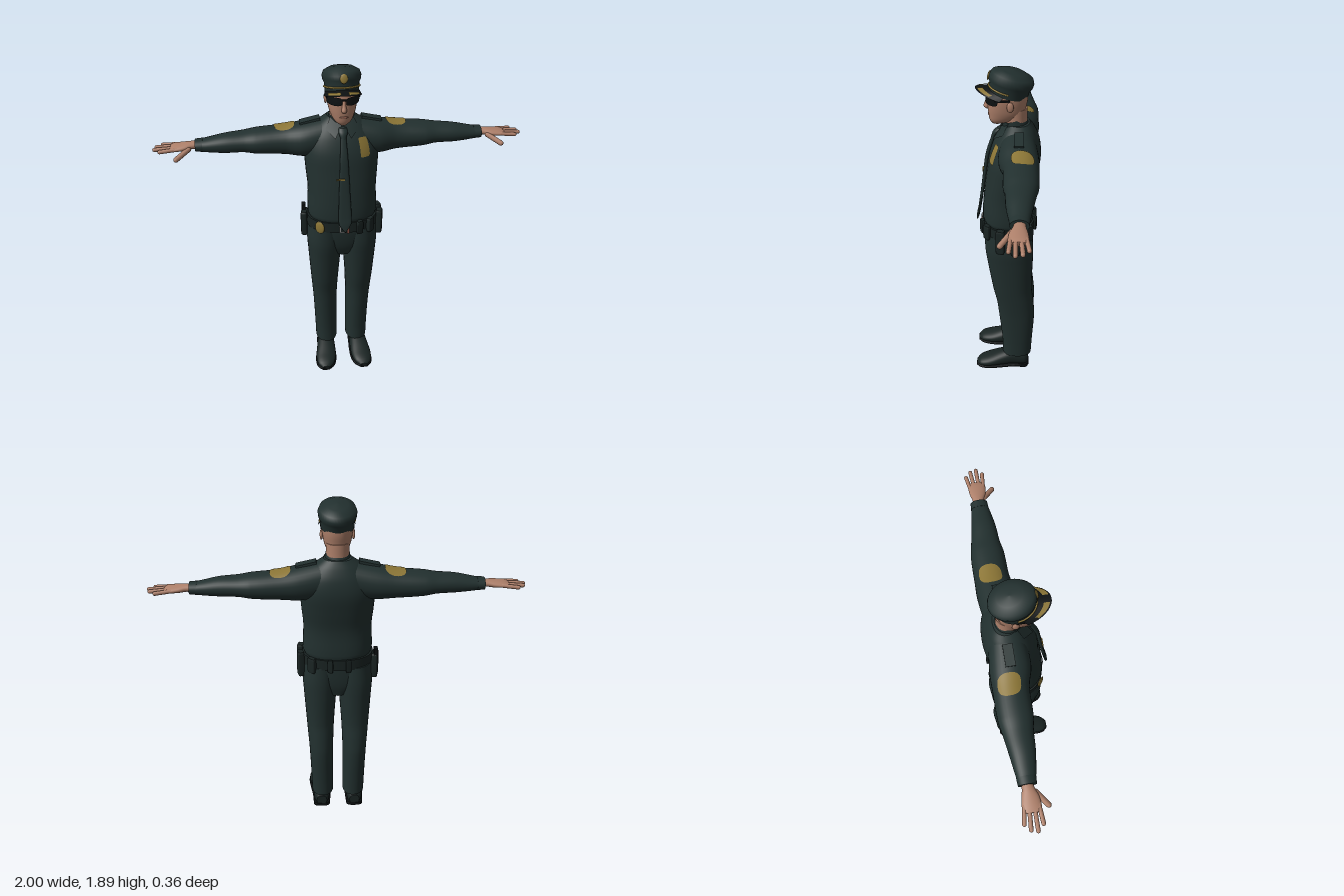
import * as THREE from 'three';
import { mergeVertices } from 'three/addons/utils/BufferGeometryUtils.js';

const material = (name, color, side = THREE.FrontSide) => {
  const m = new THREE.MeshStandardMaterial({ color, side });
  m.name = name;
  return m;
};

// Smoothly interpolated section; each is [t, centreU, centreV, radiusU, radiusV]
function sectionAt(S, t) {
  let i = 0;
  while (i < S.length - 2 && t > S[i + 1][0]) i++;
  const a = S[i], b = S[i + 1], h = b[0] - a[0], f = (t - a[0]) / h;
  const slope = (k, c) => {
    const p = S[Math.max(k - 1, 0)], q = S[Math.min(k + 1, S.length - 1)];
    return (q[c] - p[c]) / (q[0] - p[0]);
  };
  const f2 = f * f, f3 = f2 * f;
  return a.map((v, c) => (2 * f3 - 3 * f2 + 1) * v + (3 * f2 - 2 * f3) * b[c]
    + h * ((f3 - 2 * f2 + f) * slope(i, c) + (f3 - f2) * slope(i + 1, c)));
}

// Point on a loft: axis y has u=x v=z, axis x has u=z v=y, axis z has u=y v=x
function pointOn(S, axis, p, t, angle, grow = 0, k = 1) {
  const [, cu, cv, ru, rv] = sectionAt(S, t);
  const e = (n) => Math.sign(n) * Math.abs(n) ** (2 / p);
  const u = cu + k * (ru + grow) * e(Math.cos(angle)), v = cv + k * (rv + grow) * e(Math.sin(angle));
  return axis === 'y' ? [u, t, v] : axis === 'x' ? [t, v, u] : [v, u, t];
}

// Surface from rows and columns of points
function grid(rows, cols, fn, closed = false) {
  const pos = [], idx = [], n = closed ? cols : cols + 1;
  for (let i = 0; i <= rows; i++) for (let j = 0; j < n; j++) pos.push(...fn(i, j));
  for (let i = 0; i < rows; i++) for (let j = 0; j < cols; j++) {
    const a = i * n + j, b = i * n + (j + 1) % n;
    idx.push(a, a + n, b, b, a + n, b + n);
  }
  const g = new THREE.BufferGeometry();
  g.setAttribute('position', new THREE.Float32BufferAttribute(pos, 3));
  g.setIndex(idx);
  g.computeVertexNormals();
  return g;
}

// Closed body through sections, with flat end caps
function loft(S, axis = 'y', p = 2, sides = 32) {
  const steps = (S.length - 1) * 4, t0 = S[0][0], t1 = S[S.length - 1][0];
  return grid(steps + 4, sides, (i, j) => {
    const s = Math.min(Math.max(i - 2, 0), steps);
    const q = Math.floor(s / 4), f = (s % 4) / 4;
    const t = s === steps ? t1 : s === 0 ? t0 : S[q][0] + f * (S[q + 1][0] - S[q][0]);
    const k = i === 0 || i === steps + 4 ? 0.001 : 1;
    return pointOn(S, axis, p, t, (j / sides) * Math.PI * 2, 0, k);
  }, true);
}

// Thin rounded patch that follows a loft
function patch(S, axis, p, t0, t1, a0, a1, lift, round) {
  return grid(14, 10, (i, j) => {
    const s = -Math.cos((i / 14) * Math.PI);
    const w = Math.max(0.02, 1 - Math.abs(s) ** round) ** (1 / round);
    const a = (a0 + a1) / 2 + (j / 5 - 1) * w * (a1 - a0) / 2;
    return pointOn(S, axis, p, (t0 + t1) / 2 + s * (t1 - t0) / 2, a, lift);
  });
}

function capsule(a, b, r) {
  const A = new THREE.Vector3(...a), B = new THREE.Vector3(...b), d = B.clone().sub(A);
  const g = new THREE.CapsuleGeometry(r, d.length(), 5, 10);
  g.applyQuaternion(new THREE.Quaternion().setFromUnitVectors(new THREE.Vector3(0, 1, 0), d.clone().normalize()));
  return g.translate(...A.add(B).multiplyScalar(0.5).toArray());
}
const box = (w, h, d, x, y, z) => new THREE.BoxGeometry(w, h, d).translate(x, y, z);
const ball = (rx, ry, rz, x, y, z) => new THREE.SphereGeometry(1, 16, 12).scale(rx, ry, rz).translate(x, y, z);

function mirrored(geo) {
  const g = geo.index ? geo.clone() : mergeVertices(geo);
  g.scale(-1, 1, 1);
  const ix = g.index.array;
  for (let i = 0; i < ix.length; i += 3) [ix[i], ix[i + 2]] = [ix[i + 2], ix[i]];
  return g;
}

const TORSO = [[1.02, 0, -0.01, 0.178, 0.135], [1.06, 0, -0.008, 0.193, 0.143], [1.2, 0, -0.01, 0.188, 0.135],
  [1.32, 0, -0.028, 0.197, 0.138], [1.42, 0, -0.043, 0.2, 0.138], [1.5, 0, -0.053, 0.178, 0.118],
  [1.56, 0, -0.058, 0.128, 0.088], [1.6, 0, -0.06, 0.075, 0.06]];
const ARM = [[0.07, -0.06, 1.485, 0.095, 0.1], [0.2, -0.065, 1.467, 0.105, 0.093], [0.3, -0.078, 1.462, 0.092, 0.078],
  [0.45, -0.08, 1.46, 0.088, 0.066], [0.52, -0.08, 1.46, 0.076, 0.055], [0.62, -0.076, 1.456, 0.065, 0.05],
  [0.72, -0.077, 1.45, 0.05, 0.036], [0.765, -0.078, 1.45, 0.042, 0.029]];
const HEAD = [[1.592, 0, 0.052, 0.018, 0.024], [1.612, 0, 0.03, 0.046, 0.06], [1.65, 0, 0.005, 0.066, 0.092],
  [1.69, 0, 0, 0.076, 0.1], [1.74, 0, -0.004, 0.082, 0.104], [1.79, 0, -0.006, 0.08, 0.098], [1.83, 0, -0.005, 0.06, 0.07]];

export function createModel() {
  const model = new THREE.Group();
  model.name = 'officer';
  const uniform = material('uniform', 0x22302f, THREE.DoubleSide), skin = material('skin', 0xae806a);
  const leather = material('leather', 0x1a2423), black = material('black', 0x0d1112, THREE.DoubleSide);
  const gold = material('gold', 0x8c7636, THREE.DoubleSide), silver = material('silver', 0x8b8d8c);
  const red = material('red', 0x84493c), lips = material('lips', 0x8c5c4c);
  const add = (name, geo, mat) => {
    const m = new THREE.Mesh(geo, mat);
    m.name = name;
    model.add(m);
  };
  const pair = (name, geo, mat) => {
    add('left' + name, geo, mat);
    add('right' + name, mirrored(geo), mat);
  };

  // Shirt and sleeves
  add('torso', loft(TORSO, 'y', 2.3, 40), uniform);
  pair('Sleeve', loft(ARM, 'x', 2.1), uniform);
  pair('Cuff', loft([[0.735, -0.078, 1.45, 0.048, 0.035], [0.775, -0.078, 1.45, 0.045, 0.032]], 'x'), uniform);
  pair('ShoulderPatch', patch(ARM, 'x', 2.1, 0.245, 0.355, 1.05, 2.3, 0.004, 2.5), gold);
  pair('Epaulette', new THREE.BoxGeometry(0.11, 0.014, 0.05).rotateZ(-0.22).translate(0.165, 1.57, -0.065), uniform);
  add('chestBadge', patch(TORSO, 'y', 2.3, 1.41, 1.51, 0.86, 1.17, 0.005, 9), gold);

  // Collar and tie
  add('collar', new THREE.LatheGeometry([[0.07, 0], [0.068, 0.03], [0.063, 0.065]].map((p) => new THREE.Vector2(...p)), 32)
    .rotateX(0.25).translate(0, 1.56, -0.05), uniform);
  const wing = [[0.003, 1.575, 0.03], [0.06, 1.608, -0.008], [0.042, 1.515, 0.075], [0.088, 1.555, 0.022]];
  pair('CollarWing', grid(1, 1, (i, j) => wing[i * 2 + j]), uniform);
  add('tie', loft([[1.0, 0, 0.168, 0.004, 0.004], [1.04, 0, 0.16, 0.032, 0.008], [1.08, 0, 0.152, 0.036, 0.008],
    [1.2, 0, 0.134, 0.031, 0.009], [1.32, 0, 0.118, 0.026, 0.01], [1.42, 0, 0.103, 0.021, 0.01],
    [1.53, 0, 0.068, 0.014, 0.01]], 'y', 2.5, 20), uniform);
  add('tieKnot', loft([[1.515, 0, 0.072, 0.014, 0.012], [1.545, 0, 0.055, 0.024, 0.018], [1.565, 0, 0.038, 0.02, 0.014]]), uniform);
  add('tieClip', box(0.046, 0.008, 0.006, -0.021, 1.305, 0.132), gold);

  // Hands
  pair('Palm', loft([[0.74, -0.08, 1.45, 0.028, 0.022], [0.79, -0.078, 1.452, 0.03, 0.02], [0.83, -0.075, 1.448, 0.042, 0.02],
    [0.88, -0.075, 1.445, 0.047, 0.016], [0.905, -0.075, 1.444, 0.042, 0.01]], 'x'), skin);
  [[-0.11, 0.95, -0.123], [-0.087, 0.98, -0.096], [-0.063, 0.989, -0.064], [-0.041, 0.96, -0.034]].forEach(([z, x, tz], i) =>
    pair('Finger' + (i + 1), capsule([0.87, 1.446, z], [x, 1.44, tz], 0.011), skin));
  pair('Thumb', capsule([0.81, 1.442, -0.045], [0.875, 1.41, 0.006], 0.014), skin);

  // Trousers
  add('hips', loft([[0.79, 0, -0.02, 0.06, 0.1], [0.86, 0, -0.015, 0.165, 0.122], [0.95, 0, -0.011, 0.188, 0.133],
    [1.03, 0, -0.01, 0.188, 0.135]], 'y', 2.3), uniform);
  pair('TrouserLeg', loft([[0.095, 0.093, -0.064, 0.064, 0.086], [0.2, 0.094, -0.065, 0.066, 0.09], [0.4, 0.098, -0.06, 0.07, 0.105],
    [0.5, 0.1, -0.05, 0.075, 0.107], [0.6, 0.101, -0.034, 0.081, 0.112], [0.8, 0.1, -0.02, 0.095, 0.13],
    [0.88, 0.099, -0.015, 0.1, 0.135], [0.98, 0.095, -0.011, 0.095, 0.132]], 'y', 2.2), uniform);

  // Shoes
  const shoe = [[-0.135, 0.045, 0.1, 0.033, 0.03], [-0.11, 0.055, 0.1, 0.05, 0.045], [-0.04, 0.06, 0.1, 0.054, 0.05],
    [0.03, 0.05, 0.104, 0.045, 0.057], [0.1, 0.037, 0.11, 0.032, 0.06], [0.155, 0.028, 0.115, 0.022, 0.047],
    [0.182, 0.02, 0.117, 0.01, 0.02]];
  const upper = loft(shoe, 'z', 2.2);
  const up = upper.attributes.position;
  for (let i = 0; i < up.count; i++) up.setY(i, Math.max(up.getY(i), 0.01));
  upper.computeVertexNormals();
  pair('Shoe', upper, leather);
  pair('Sole', loft(shoe.map(([z, , x, , r]) => [z * 1.01, 0.011, x, 0.009, r + 0.004]), 'z', 4), black);
  pair('Heel', loft([[0, 0.1, -0.1, 0.05, 0.036], [0.022, 0.1, -0.1, 0.048, 0.036]], 'y', 3), black);

  // Belt, buckle and gear
  add('belt', loft([[0.972, 0, -0.01, 0.197, 0.145], [1.036, 0, -0.01, 0.197, 0.147]], 'y', 2.3, 40), leather);
  add('buckle', box(0.05, 0.044, 0.008, -0.004, 1.0, 0.138), silver);
  add('buckleCentre', box(0.036, 0.03, 0.006, -0.004, 1.0, 0.142), leather);
  add('buckleTag', box(0.012, 0.045, 0.008, 0.02, 0.995, 0.139), red);
  const gear = (name, a, y0, y1, w, d) => {
    const r = 0.004 + d / 2, x = Math.cos(a), z = Math.sin(a);
    const g = loft([[y0, 0, 0, w * 0.42, d * 0.42], [y0 + 0.01, 0, 0, w / 2, d / 2], [y1 - 0.012, 0, 0, w / 2, d / 2],
      [y1, 0, 0, w * 0.42, d * 0.42]], 'y', 5, 24);
    g.rotateY(Math.atan2(x, z)).translate(x * (0.192 + r), 0, z * (0.142 + r) - 0.01);
    add(name, g, leather);
  };
  [[1.15, 0.965, 1.045, 0.035, 0.022], [0.8, 0.96, 1.045, 0.045, 0.028], [0.25, 0.905, 1.05, 0.048, 0.036],
    [-0.25, 0.895, 1.045, 0.048, 0.036], [-0.8, 0.95, 1.04, 0.05, 0.026], [-1.35, 0.965, 1.042, 0.03, 0.014],
    [-1.85, 0.965, 1.042, 0.03, 0.014]].forEach((v, i) => gear('beltPouch' + (i + 1), ...v));
  gear('holster', Math.PI + 0.2, 0.88, 1.03, 0.075, 0.036);
  add('pistolGrip', box(0.022, 0.055, 0.035, -0.212, 1.035, -0.06), black);
  add('beltBadge', ball(0.03, 0.037, 0.008, 0, 0, 0).rotateY(-0.62).translate(-0.135, 1.003, 0.112), gold);

  // Neck, head and face
  add('neck', loft([[1.52, 0, -0.055, 0.062, 0.058], [1.6, 0, -0.05, 0.06, 0.056], [1.68, 0, -0.045, 0.062, 0.06]]), skin);
  add('head', loft(HEAD, 'y', 2.2), skin);
  add('nose', loft([[1.672, 0, 0.098, 0.01, 0.01], [1.685, 0, 0.104, 0.014, 0.018], [1.71, 0, 0.1, 0.01, 0.014],
    [1.745, 0, 0.096, 0.008, 0.008]], 'y', 2, 16), skin);
  add('mouth', ball(0.022, 0.006, 0.006, 0, 1.645, 0.094), lips);
  pair('Ear', ball(0.009, 0.028, 0.018, 0.083, 1.71, -0.018), skin);

  // Sunglasses
  pair('Lens', patch(HEAD, 'y', 2.2, 1.712, 1.757, 0.42, 1.49, 0.01, 4), black);
  add('glassesBridge', box(0.026, 0.007, 0.006, 0, 1.744, 0.111), black);
  pair('Temple', box(0.005, 0.01, 0.075, 0.085, 1.744, 0.022), black);

  // Peaked cap, built level and then tipped back
  const cap = (name, g, mat) => add(name, g.rotateX(-0.24).translate(0, 1.76, -0.005), mat);
  const crown = [[0.088, -0.006], [0.09, 0.036], [0.099, 0.054], [0.101, 0.075], [0.092, 0.098], [0.055, 0.117], [0.0001, 0.122]];
  cap('capCrown', new THREE.LatheGeometry(crown.map((p) => new THREE.Vector2(...p)), 40).scale(1, 1, 1.17), uniform);
  const visor = (a0, a1, v0, v1, lift) => grid(6, 24, (i, j) => {
    const a = a0 + (a1 - a0) * j / 24, v = v0 + (v1 - v0) * i / 6, s = Math.sin(a), c = Math.cos(a);
    return [s * (0.089 + 0.012 * v), 0.008 - v * 0.022 - 0.012 * s * s + lift, c * (0.1 + 0.07 * v)];
  });
  cap('visor', visor(-1.35, 1.35, 0, 1, 0), black);
  for (const s of [-1, 1]) cap(s > 0 ? 'leftVisorTrim' : 'rightVisorTrim', visor(s * 0.2, s * 0.95, 0.5, 0.9, 0.004), gold);
  cap('capStrap', new THREE.TorusGeometry(0.091, 0.005, 8, 32, Math.PI).rotateX(Math.PI / 2).scale(1, 1, 1.16).translate(0, 0.018, 0), gold);
  cap('capBadge', ball(0.02, 0.024, 0.007, 0, 0.064, 0.116), gold);

  return model;
}
